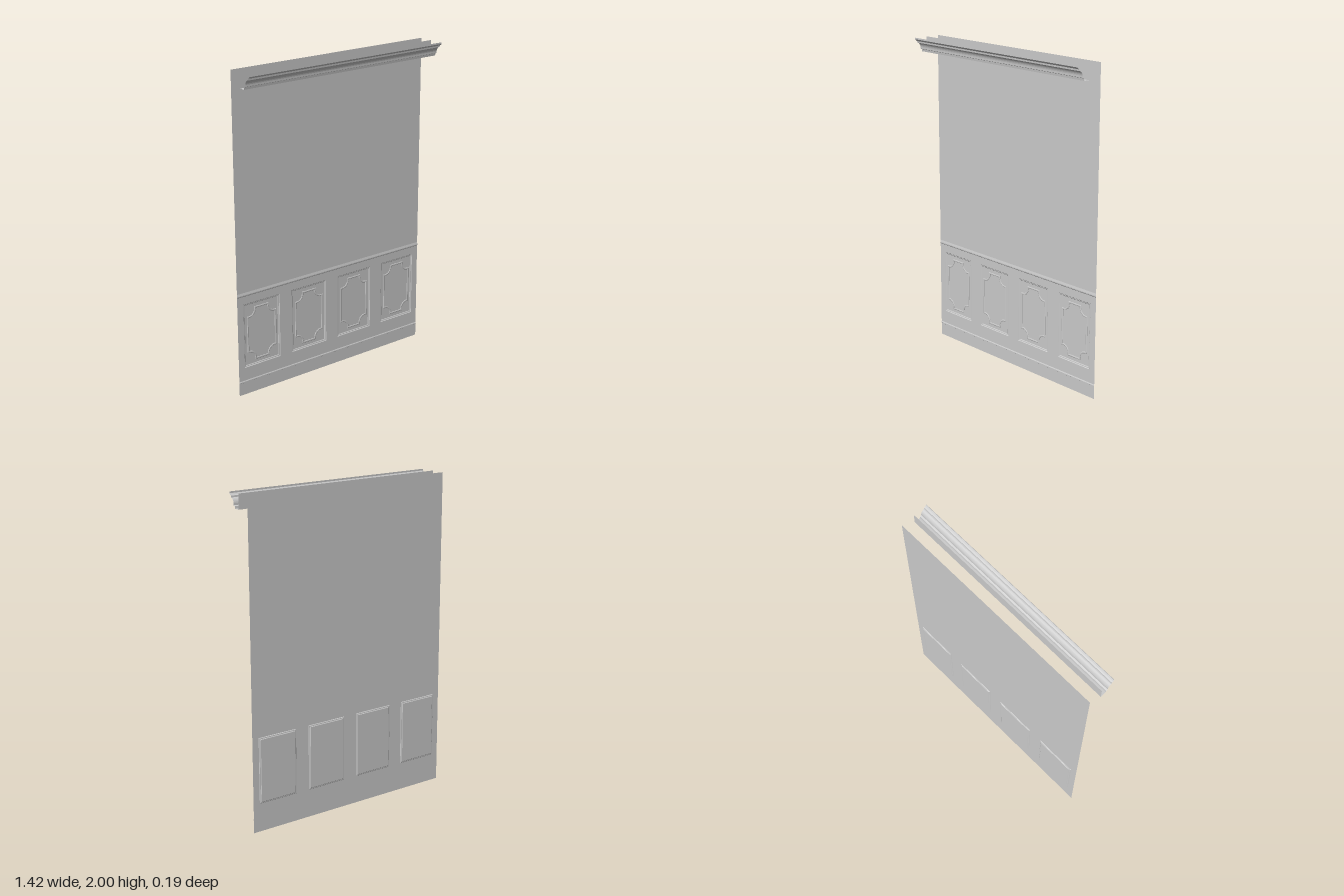
import * as THREE from 'three';

const HALF = 0.7125;       // half width of the wall
const WALL_Z = -0.089;     // plane of the wall sheet
const FLOOR_Z = -0.095;    // floor of the recessed panels
const mat = new THREE.MeshStandardMaterial({ color: 0xcccccc, side: THREE.DoubleSide });

function mesh(name, geometry) {
  const m = new THREE.Mesh(geometry, mat);
  m.name = name;
  return m;
}

// Joins equally long 3D point rows into a faceted sheet
function sheet(rows) {
  const pos = [];
  for (let i = 0; i + 1 < rows.length; i++) {
    for (let j = 0; j + 1 < rows[i].length; j++) {
      const a = rows[i][j], b = rows[i][j + 1], c = rows[i + 1][j + 1], d = rows[i + 1][j];
      pos.push(...a, ...b, ...c, ...a, ...c, ...d);
    }
  }
  const g = new THREE.BufferGeometry();
  g.setAttribute('position', new THREE.Float32BufferAttribute(pos, 3));
  g.computeVertexNormals();
  return g;
}

// Runs a [z, y] profile along the full width, open at the ends
function moulding(name, profile) {
  return mesh(name, sheet([-HALF, HALF].map(x => profile.map(([z, y]) => [x, y, z]))));
}

function rectPoints(cx, cy, w, h) {
  return [[cx - w, cy - h], [cx + w, cy - h], [cx + w, cy + h], [cx - w, cy + h]];
}

// Frame outline with stepped, scooped corners, moved inwards by inset
function scoopedOutline(w, h, inset) {
  const R = 0.04, step = 0.014, quarter = [];
  quarter.push([w - inset, h - R - step - inset]);
  for (let k = 0; k <= 8; k++) {
    const a = (k / 8) * Math.PI / 2;
    quarter.push([w - step - (R + inset) * Math.sin(a), h - step - (R + inset) * Math.cos(a)]);
  }
  quarter.push([w - step - R - inset, h - inset]);
  const back = [...quarter].reverse();
  return [
    ...quarter,
    ...back.map(([x, y]) => [-x, y]),
    ...quarter.map(([x, y]) => [-x, -y]),
    ...back.map(([x, y]) => [x, -y]),
  ].map(([x, y]) => new THREE.Vector2(x, y));
}

function recessedPanel(cx, cy, w, h) {
  const g = new THREE.Group();
  g.name = 'recessedPanel';
  // stepped border sinking from the wall to the panel floor
  const levels = [[0, WALL_Z], [0.003, -0.092], [0.009, -0.0925], [0.012, FLOOR_Z]];
  g.add(mesh('panelBorder', sheet(levels.map(([inset, z]) => {
    const p = rectPoints(0, 0, w - inset, h - inset);
    return [...p, p[0]].map(([x, y]) => [x, y, z]);
  }))));
  const floor = mesh('panelFloor', new THREE.PlaneGeometry(2 * (w - 0.012), 2 * (h - 0.012)));
  floor.position.z = FLOOR_Z;
  g.add(floor);

  // raised decorative frame
  const shape = new THREE.Shape(scoopedOutline(0.107, 0.172, 0));
  shape.holes.push(new THREE.Path(scoopedOutline(0.107, 0.172, 0.011)));
  const frame = mesh('scoopedFrame', new THREE.ExtrudeGeometry(shape, {
    depth: 0.0015, bevelEnabled: true, bevelThickness: 0.0015, bevelSize: 0.003, bevelOffset: -0.003, bevelSegments: 1,
  }));
  frame.position.z = FLOOR_Z + 0.0015;
  g.add(frame);
  g.position.set(cx, cy, 0);
  return g;
}

export function createModel() {
  const model = new THREE.Group();
  model.name = 'panelledWall';

  // Wall sheet with openings for the panels
  const panelX = [-0.536, -0.179, 0.179, 0.536], cy = 0.38, w = 0.133, h = 0.205;
  const toVectors = pts => pts.map(([x, y]) => new THREE.Vector2(x, y));
  const wallShape = new THREE.Shape(toVectors(rectPoints(0, 1, HALF, 1)));
  for (const x of panelX) {
    wallShape.holes.push(new THREE.Path(toVectors(rectPoints(x, cy, w, h))));
    model.add(recessedPanel(x, cy, w, h));
  }
  const wall = mesh('wall', new THREE.ShapeGeometry(wallShape));
  wall.position.z = WALL_Z;
  model.add(wall);

  // Slim rails on the wall
  model.add(moulding('baseboardCap', [
    [WALL_Z, 0.078], [-0.086, 0.08], [-0.086, 0.086], [-0.0875, 0.089], [WALL_Z, 0.092],
  ]));
  model.add(moulding('chairRail', [
    [WALL_Z, 0.634], [-0.086, 0.638], [-0.0855, 0.644], [-0.087, 0.65], [WALL_Z, 0.658],
  ]));

  // Crown moulding: back sheet, flat underside and coved front
  const crown = [[0, 2], [0, 1.91], [0.038, 1.91], [0.04, 1.924], [0.05, 1.928]];
  for (let k = 1; k <= 8; k++) {
    const a = (k / 8) * Math.PI / 2;
    crown.push([0.076 - 0.026 * Math.cos(a), 1.932 + 0.036 * Math.sin(a)]);
  }
  crown.push([0.077, 1.978], [0.085, 1.982], [0.092, 1.99], [0.092, 2]);
  model.add(moulding('crownMoulding', crown));

  return model;
}
